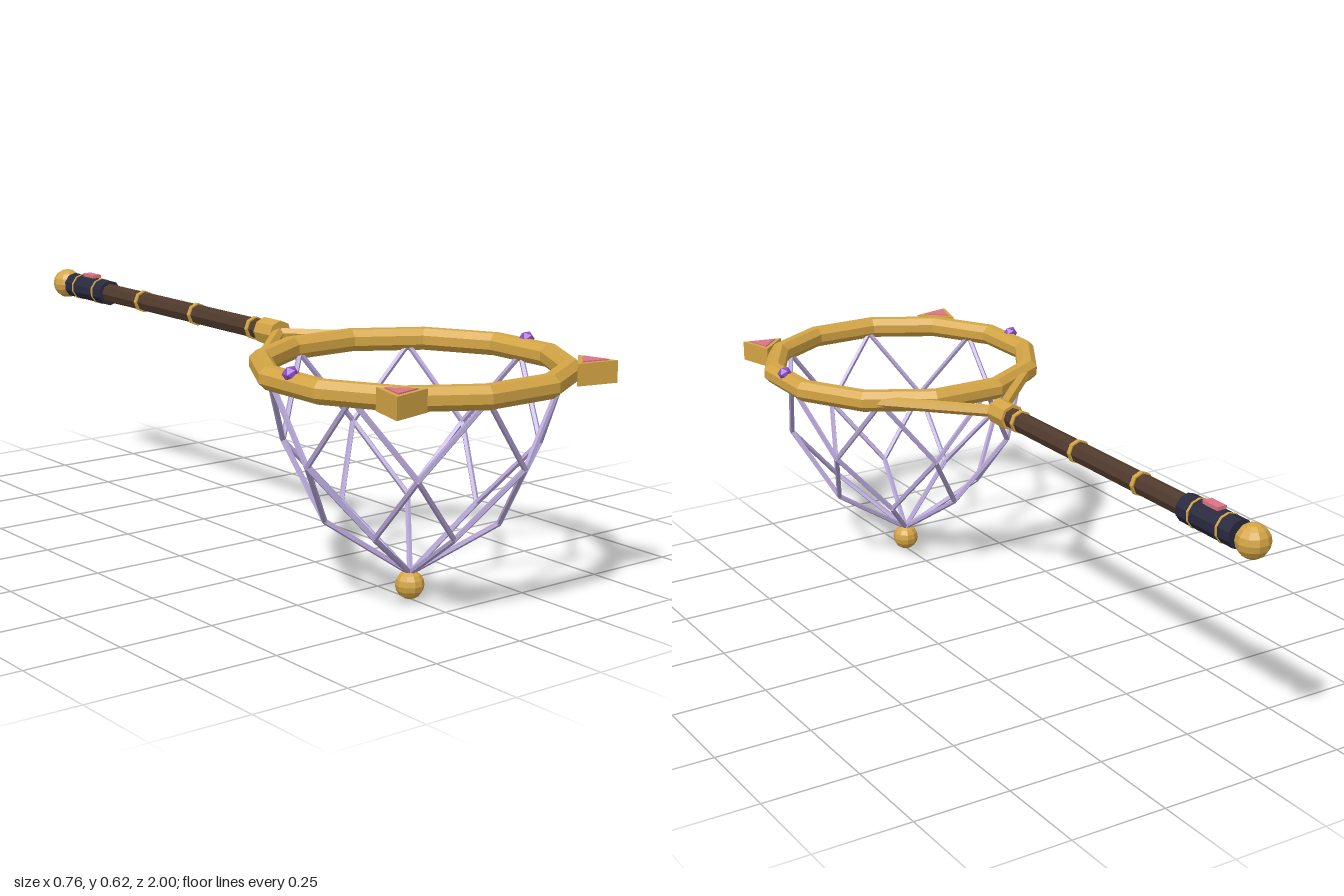
import * as THREE from 'three';

const mat = (name, color) => {
  const m = new THREE.MeshStandardMaterial({ color });
  m.name = name;
  return m;
};

export function createModel() {
  const gold = mat('gold', 0xd4a545);
  const wood = mat('darkWood', 0x4f3a2c);
  const leather = mat('navyLeather', 0x2a2a40);
  const cord = mat('lavenderCord', 0xb5a5d6);
  const violet = mat('violetGem', 0x8e4ec6);
  const pink = mat('pinkInlay', 0xdc7484);

  const model = new THREE.Group();
  model.name = 'handNet';
  const Y = 0.5725; // height of hoop and handle axis
  const CZ = 0.62; // hoop centre
  const V = (x, y, z) => new THREE.Vector3(x, y, z);

  // Adds a faceted mesh
  function add(name, geometry, material, x = 0, y = 0, z = 0, parent = model) {
    const g = geometry.index ? geometry.toNonIndexed() : geometry;
    g.computeVertexNormals();
    const mesh = new THREE.Mesh(g, material);
    mesh.name = name;
    mesh.position.set(x, y, z);
    parent.add(mesh);
    return mesh;
  }

  // Straight rod between two points
  function rod(name, a, b, radius, sides, material, parent = model) {
    const d = b.clone().sub(a);
    const m = add(name, new THREE.CylinderGeometry(radius, radius, d.length(), sides), material, 0, 0, 0, parent);
    m.position.copy(a).add(b).multiplyScalar(0.5);
    m.quaternion.setFromUnitVectors(V(0, 1, 0), d.normalize());
    return m;
  }
  const along = (name, z0, z1, radius, sides, material) =>
    rod(name, V(0, Y, z0), V(0, Y, z1), radius, sides, material);

  // Twelve-sided hoop with an octagonal section
  const section = [];
  for (let i = 0; i <= 8; i++) {
    const a = ((i + 0.5) / 8) * Math.PI * 2;
    section.push(new THREE.Vector2(0.365 + 0.0298 * Math.cos(a), 0.0298 * Math.sin(a)));
  }
  add('hoop', new THREE.LatheGeometry(section, 12, Math.PI / 12), gold, 0, Y, CZ);

  // Triangular ear with a pink inlay; points are x, z from the hoop centre
  const earPoints = [[0.228, 0.308], [0.335, 0.332], [0.308, 0.23]];
  const mid = [0.29, 0.29];
  function earPlate(s, scale, depth) {
    const pts = earPoints.map(([x, z]) =>
      new THREE.Vector2(s * (mid[0] + (x - mid[0]) * scale), mid[1] + (z - mid[1]) * scale));
    return new THREE.ExtrudeGeometry(new THREE.Shape(pts), { depth, bevelEnabled: false }).rotateX(Math.PI / 2);
  }

  for (const s of [1, -1]) {
    const side = s > 0 ? 'left' : 'right';
    add(side + 'Ear', earPlate(s, 1, 0.053), gold, 0, 0.6, CZ);
    add(side + 'EarInlay', earPlate(s, 0.66, 0.005), pink, 0, 0.603, CZ);
    add(side + 'Gem', new THREE.IcosahedronGeometry(0.02, 0), violet, s * 0.365, 0.598, CZ);
    rod(side + 'Fork', V(0, Y, 0.09), V(s * 0.25, Y, 0.352), 0.016, 6, gold);
  }

  // Knotted net: seven-fold rows of diamonds closing at the bottom
  const net = new THREE.Group();
  net.name = 'net';
  model.add(net);
  const N = 7;
  const knot = (radius, y, k) => {
    const a = (k / N) * Math.PI * 2;
    return V(radius * Math.cos(a), y, CZ + radius * Math.sin(a));
  };
  const cordRod = (a, b) => rod('netCord', a, b, 0.0072, 5, cord, net);
  for (let k = 0; k < N; k++) {
    const low = knot(0.212, 0.205, k);
    const rim = knot(0.347, 0.56, k);
    for (const h of [-0.5, 0.5]) {
      const middle = knot(0.317, 0.375, k + h);
      cordRod(rim, middle);
      cordRod(middle, low);
    }
    cordRod(low, V(0, 0.065, CZ));
  }
  add('netBall', new THREE.SphereGeometry(0.036, 10, 8), gold, 0, 0.036, CZ);

  // Handle
  along('collar', 0.03, 0.1, 0.035, 8, gold);
  along('shaft', 0.04, -0.73, 0.027, 8, wood);
  for (const z of [-0.01, -0.275, -0.54]) along('shaftBand', z - 0.006, z + 0.006, 0.031, 8, gold);
  along('grip', -0.72, -0.915, 0.036, 10, leather);
  for (const z of [-0.765, -0.87]) along('gripBand', z - 0.003, z + 0.003, 0.038, 10, gold);
  add('gripInlay', new THREE.BoxGeometry(0.026, 0.009, 0.055), pink, 0, 0.612, -0.818);
  add('pommel', new THREE.SphereGeometry(0.042, 10, 8), gold, 0, Y, -0.958);

  return model;
}
